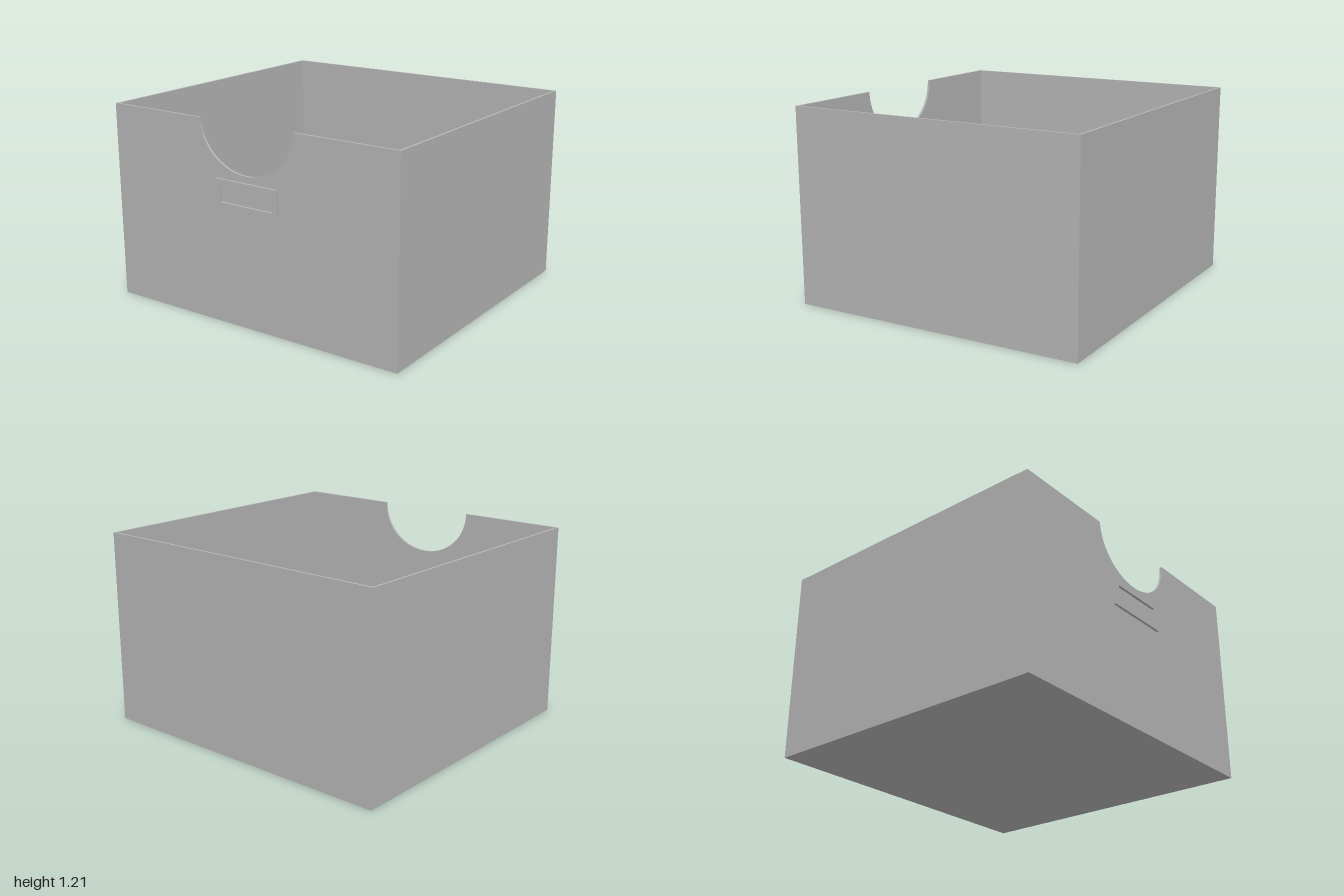
import * as THREE from 'three';

const H = 1.21, T = 0.015, BACK = -0.935, FRONT = 0.92;
const DEPTH = FRONT - BACK, MID = (FRONT + BACK) / 2;

export function createModel() {
  const model = new THREE.Group();
  model.name = 'storageBin';
  const grey = new THREE.MeshStandardMaterial({ color: 0xb4b4b4 });
  grey.name = 'grey';

  const add = (name, geometry, x, y, z) => {
    const mesh = new THREE.Mesh(geometry, grey);
    mesh.name = name;
    mesh.position.set(x, y, z);
    model.add(mesh);
  };
  const extrude = (shape) =>
    new THREE.ExtrudeGeometry(shape, { depth: T, bevelEnabled: false, curveSegments: 48 });
  const rectangle = (Type, w, h) => new Type([
    new THREE.Vector2(-w, -h), new THREE.Vector2(w, -h),
    new THREE.Vector2(w, h), new THREE.Vector2(-w, h),
  ]);

  // Floor, back and the two mirrored sides
  add('floor', new THREE.BoxGeometry(2 - 2 * T, T, DEPTH - 2 * T), 0, T / 2, MID);
  add('backWall', new THREE.BoxGeometry(2, H, T), 0, H / 2, BACK + T / 2);
  for (const [name, s] of [['leftWall', 1], ['rightWall', -1]]) {
    add(name, new THREE.BoxGeometry(T, H, DEPTH - 2 * T), s * (1 - T / 2), H / 2, MID);
  }

  // Front wall with a rounded hand notch in the rim
  const front = new THREE.Shape();
  front.moveTo(-1, 0);
  front.lineTo(1, 0);
  front.lineTo(1, H);
  front.lineTo(0.33, H);
  front.absellipse(0, H, 0.33, 0.295, 0, Math.PI, true);
  front.lineTo(-1, H);
  front.closePath();
  add('frontWall', extrude(front), 0, 0, FRONT - T);

  // Raised open frame for a label
  const frame = rectangle(THREE.Shape, 0.222, 0.083);
  frame.holes.push(rectangle(THREE.Path, 0.185, 0.053));
  add('labelFrame', extrude(frame), 0, 0.793, FRONT);

  return model;
}
